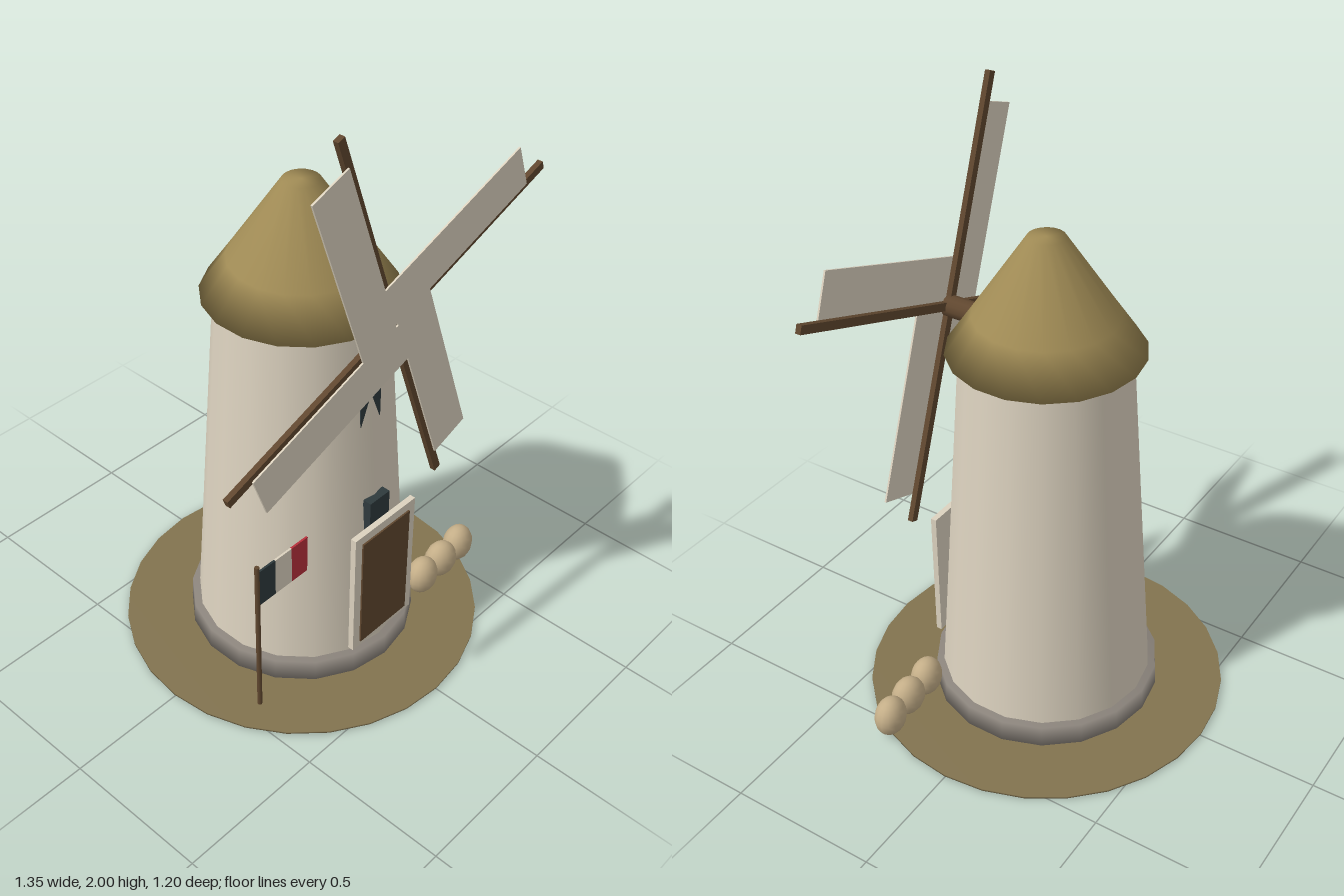
import * as THREE from 'three';
import { mergeVertices } from 'three/addons/utils/BufferGeometryUtils.js';

const mat = (name, color) => {
  const m = new THREE.MeshStandardMaterial({ color });
  m.name = name;
  return m;
};

// Welds all corners so that shading runs softly over the edges
function soften(geometry) {
  geometry.deleteAttribute('normal');
  geometry.deleteAttribute('uv');
  const g = mergeVertices(geometry, 1e-4);
  g.computeVertexNormals();
  return g;
}

export function createModel() {
  const cream = mat('cream', 0xdcd2bf);
  const thatch = mat('thatch', 0xa08b55);
  const wood = mat('wood', 0x60472f);
  const earth = mat('earth', 0x82734f);
  const stone = mat('stone', 0x8a837b);
  const slate = mat('slate', 0x2f3a3d);
  const red = mat('red', 0xb8303c);
  const sacking = mat('sacking', 0xc4ae88);

  const model = new THREE.Group();
  model.name = 'windmill';

  const add = (name, geometry, material, x, y, z, parent = model) => {
    const mesh = new THREE.Mesh(geometry, material);
    mesh.name = name;
    mesh.position.set(x, y, z);
    parent.add(mesh);
    return mesh;
  };
  const box = (w, h, d) => new THREE.BoxGeometry(w, h, d);

  // Ground and stone footing
  add('ground', soften(new THREE.CylinderGeometry(0.6, 0.6, 0.007, 28)), earth, 0, 0.0065, 0);
  add('footing', soften(new THREE.CylinderGeometry(0.375, 0.38, 0.083, 18)), stone, 0, 0.0415, 0);

  // Tapered tower
  add('tower', new THREE.CylinderGeometry(0.265, 0.352, 1.235, 18), cream, 0, 0.6775, 0);

  // Thatched cap, closed below
  const capProfile = [[0, 1.285], [0.307, 1.285], [0.225, 1.405], [0.058, 1.655], [0, 1.655]]
    .map(([r, y]) => new THREE.Vector2(r, y));
  add('cap', soften(new THREE.LatheGeometry(capProfile, 18)), thatch, 0, 0, 0);

  // Door with frame
  add('doorFrame', box(0.284, 0.472, 0.02), cream, 0, 0.352, 0.35);
  add('door', box(0.222, 0.42, 0.008), wood, 0, 0.347, 0.362);

  // Windows: the wall ridge breaks through the lower part of the upper one
  add('lowerWindow', box(0.09, 0.125, 0.03), slate, 0, 0.6, 0.318);
  add('upperWindow', box(0.09, 0.125, 0.03), slate, 0, 0.9975, 0.268);

  // Shaft and four sails
  const shaft = add('shaft', new THREE.CylinderGeometry(0.035, 0.035, 0.13, 12), wood, 0, 1.323, 0.295);
  shaft.rotation.x = Math.PI / 2;

  const sails = new THREE.Group();
  sails.name = 'sails';
  sails.position.set(0, 1.323, 0);
  sails.rotation.z = THREE.MathUtils.degToRad(20);
  model.add(sails);
  for (let i = 0; i < 4; i++) {
    const arm = new THREE.Group();
    arm.name = 'sailArm';
    arm.rotation.z = (i * Math.PI) / 2;
    add('spar', box(0.027, 0.715, 0.018), wood, 0, 0.3575, 0.354, arm);
    add('sailCloth', box(0.148, 0.629, 0.006), cream, -0.079, 0.3095, 0.366, arm);
    sails.add(arm);
  }

  // Flag on a pole
  add('flagPole', new THREE.CylinderGeometry(0.008, 0.008, 0.6, 8), wood, -0.44, 0.305, 0.228);
  [slate, cream, red].forEach((m, i) => {
    add('flagStripe', box(0.072, 0.137, 0.007), m, -0.4 + i * 0.072, 0.5135, 0.228);
  });

  // Grain sacks in a row
  [[0.32, 0.275, 0.1], [0.427, 0.27, -0.1], [0.533, 0.262, 0.15]].forEach(([x, z, turn]) => {
    const sack = add('sack', new THREE.SphereGeometry(1, 14, 10), sacking, x, 0.075, z);
    sack.scale.set(0.062, 0.068, 0.05);
    sack.rotation.y = turn;
  });

  return model;
}
